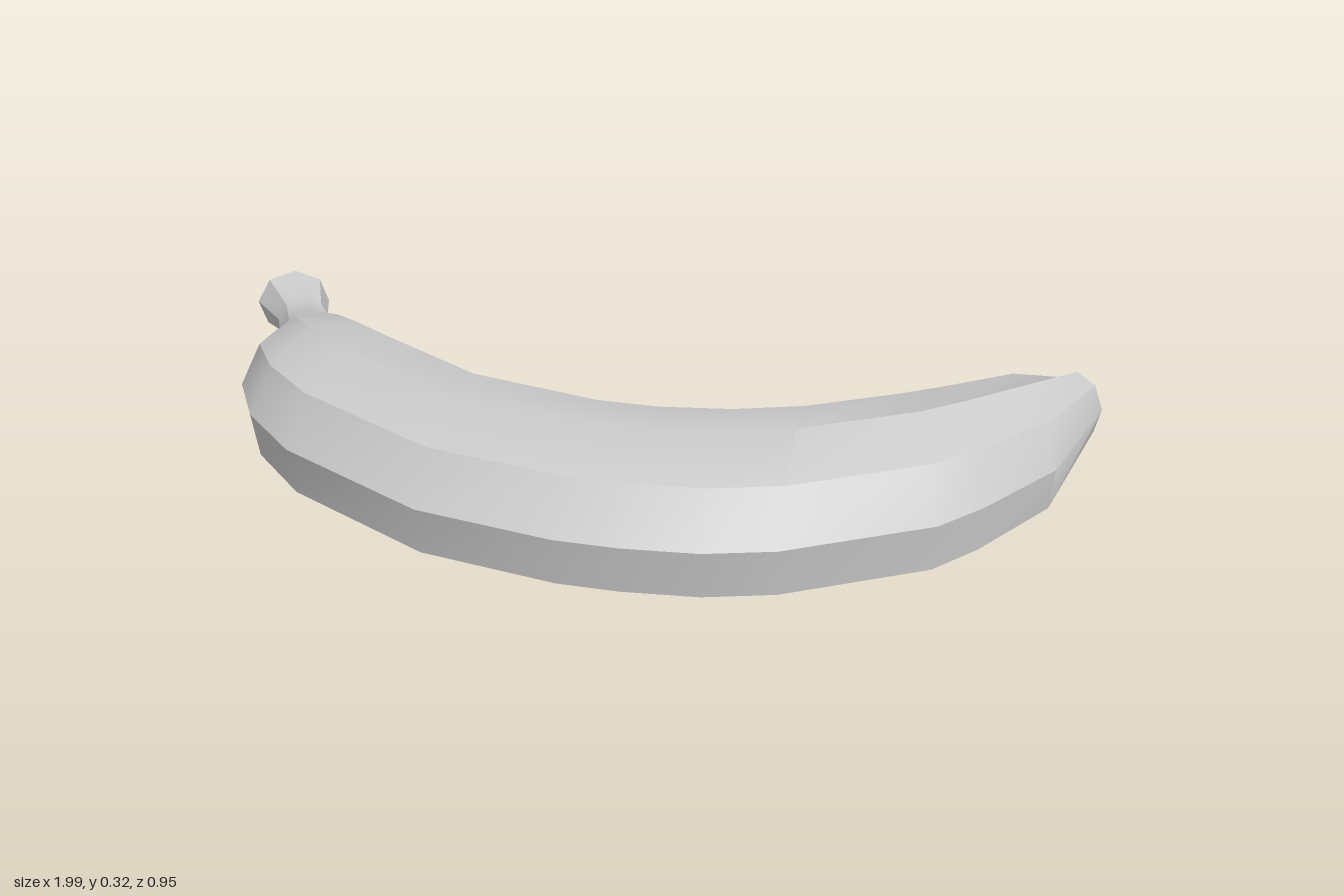
import * as THREE from 'three';
import { toCreasedNormals } from 'three/addons/utils/BufferGeometryUtils.js';

// Eight-sided cross-section: [u, v], u = +1 on the outer curve, v = +1 on top
const BODY = [[1, 0.16], [0.65, 0.75], [0.02, 1], [-0.67, 0.75], [-1, 0], [-0.65, -0.74], [0.36, -1], [0.92, -0.54]];
const ROUND = BODY.map((p, i) => {
  const a = 0.12 + (i * Math.PI) / 4;
  return [Math.cos(a), Math.sin(a)];
});

// Stations along the fruit: outer x, z, inner x, z, bottom y, top y, roundness
const STATIONS = [
  [-1, -0.4, -0.85, -0.48, 0.08, 0.24, 1],
  [-0.92, -0.33, -0.82, -0.39, 0.105, 0.21, 1],
  [-0.88, -0.24, -0.775, -0.325, 0.095, 0.22, 0.7],
  [-0.866, 0.016, -0.69, -0.25, 0.025, 0.295, 0],
  [-0.79, 0.15, -0.62, -0.205, 0.01, 0.318, 0],
  [-0.66, 0.27, -0.54, -0.16, 0, 0.325, 0],
  [-0.33, 0.43, -0.32, -0.04, 0, 0.325, 0],
  [-0.04, 0.475, -0.04, 0.015, 0, 0.325, 0],
  [0.09, 0.475, 0.09, 0.015, 0, 0.325, 0],
  [0.246, 0.46, 0.24, -0.01, 0, 0.325, 0],
  [0.39, 0.42, 0.38, -0.055, 0, 0.325, 0],
  [0.68, 0.267, 0.55, -0.14, 0, 0.325, 0],
  [0.765, 0.18, 0.64, -0.19, 0.005, 0.322, 0],
  [0.9, 0.005, 0.775, -0.28, 0.022, 0.308, 0],
  [0.995, -0.3, 0.88, -0.36, 0.08, 0.24, 0.8],
];

function ring([ox, oz, ix, iz, lo, hi, round]) {
  return BODY.map(([bu, bv], j) => {
    const u = THREE.MathUtils.lerp(bu, ROUND[j][0], round);
    const v = THREE.MathUtils.lerp(bv, ROUND[j][1], round);
    return [
      (ox + ix + u * (ox - ix)) / 2,
      (lo + hi + v * (hi - lo)) / 2,
      (oz + iz + u * (oz - iz)) / 2,
    ];
  });
}

// Skin the rings together
function loft(rings) {
  const n = rings[0].length;
  const index = [];
  for (let i = 0; i < rings.length - 1; i++) {
    for (let j = 0; j < n; j++) {
      const k = (j + 1) % n;
      const a = i * n + j, b = i * n + k;
      index.push(a, a + n, b + n, a, b + n, b);
    }
  }
  return geometry(rings.flat(2), index);
}

// Flat end cut
function cap(points, flip) {
  const index = [];
  for (let j = 1; j < points.length - 1; j++) {
    if (flip) index.push(0, j + 1, j);
    else index.push(0, j, j + 1);
  }
  return geometry(points.flat(), index);
}

function geometry(positions, index) {
  const g = new THREE.BufferGeometry();
  g.setAttribute('position', new THREE.Float32BufferAttribute(positions, 3));
  g.setIndex(index);
  return toCreasedNormals(g, 0.56);
}

export function createModel() {
  const group = new THREE.Group();
  group.name = 'banana';
  const material = new THREE.MeshStandardMaterial({ color: 0xcccccc });
  const add = (name, geo) => {
    const mesh = new THREE.Mesh(geo, material);
    mesh.name = name;
    group.add(mesh);
  };

  const rings = STATIONS.map(ring);
  add('peel', loft(rings));
  add('stemEnd', cap(rings[0], false));
  add('blossomEnd', cap(rings[rings.length - 1], true));
  return group;
}
